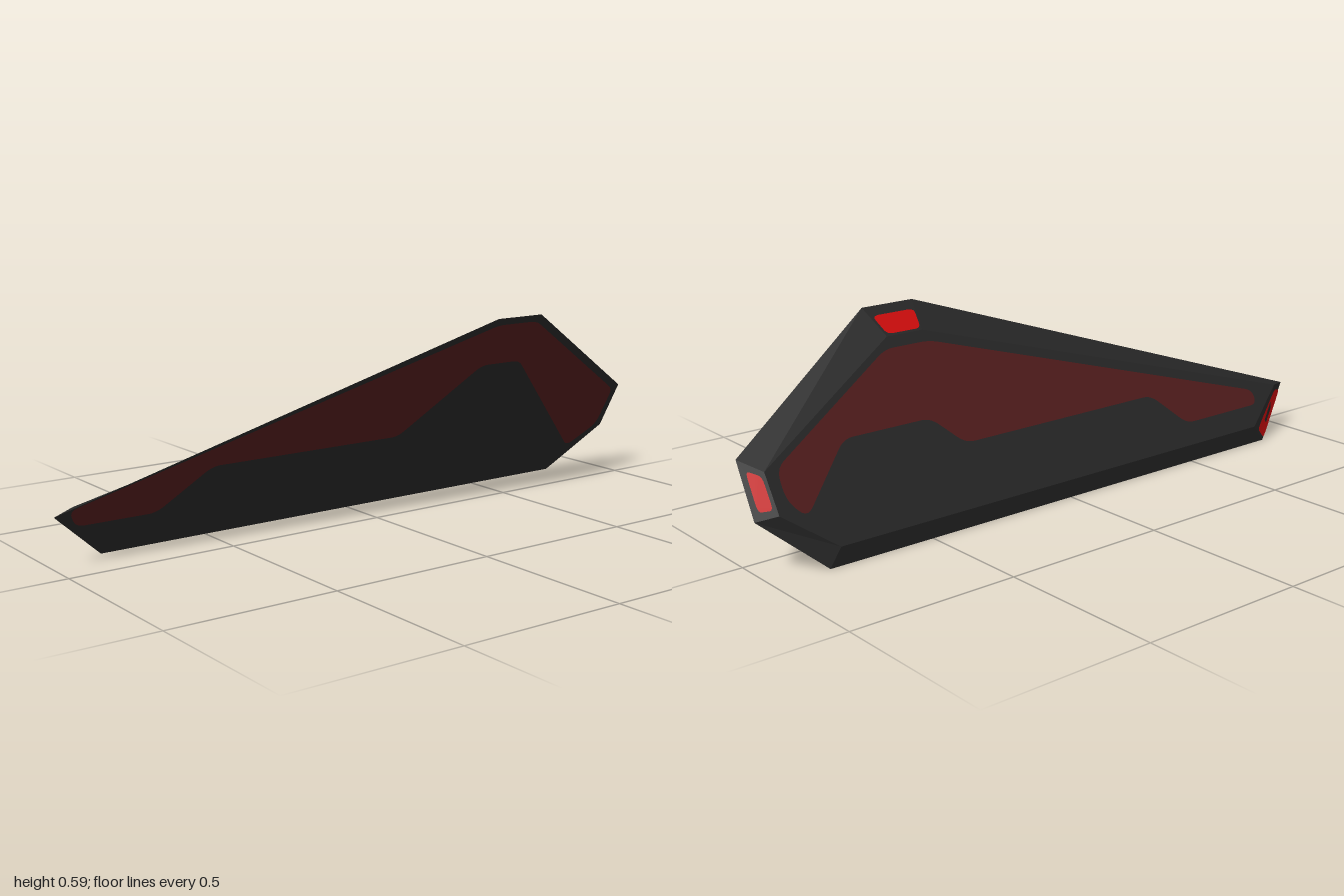
import * as THREE from 'three';

const body = new THREE.MeshStandardMaterial({ name: 'charcoal', color: 0x272727 });
const maroon = new THREE.MeshStandardMaterial({ name: 'maroon', color: 0x521c1c });
const red = new THREE.MeshStandardMaterial({ name: 'brightRed', color: 0xcc0c0c });

// The two parallel tilted faces of the fin: x as a function of height
const outerX = (y) => -0.155 + 0.5366 * y;
const innerX = (y) => -0.194 + 0.5414 * y;

// Matching outlines as [z, y]: nose, tip, tail, base
const outerRing = [[1, 0.147], [-0.33, 0.587], [-0.5, 0.587], [-1, 0.295], [-1, 0.147], [-0.83, 0], [0.83, 0]]
  .map(([z, y]) => new THREE.Vector3(outerX(y), y, z));
const innerRing = [[0.93, 0.158], [-0.35, 0.515], [-0.47, 0.515], [-0.95, 0.265], [-0.945, 0.16], [-0.8, 0.057], [0.78, 0.057]]
  .map(([z, y]) => new THREE.Vector3(innerX(y), y, z));

// Faceted slab: two flat faces joined by a ring of bevels
function slab() {
  const pts = [];
  const n = outerRing.length;
  for (let i = 1; i < n - 1; i++) {
    pts.push(outerRing[0], outerRing[i + 1], outerRing[i]);
    pts.push(innerRing[0], innerRing[i], innerRing[i + 1]);
  }
  for (let i = 0; i < n; i++) {
    const j = (i + 1) % n;
    pts.push(outerRing[i], outerRing[j], innerRing[j], outerRing[i], innerRing[j], innerRing[i]);
  }
  const g = new THREE.BufferGeometry().setFromPoints(pts);
  g.computeVertexNormals();
  return g;
}

// Polygon with softened corners
function roundedShape(points, r) {
  const p = points.map(([x, y]) => new THREE.Vector2(x, y));
  const shape = new THREE.Shape();
  p.forEach((c, i) => {
    const toward = (q) => c.clone().lerp(q, Math.min(0.45, r / c.distanceTo(q)));
    const a = toward(p[(i + p.length - 1) % p.length]);
    const b = toward(p[(i + 1) % p.length]);
    if (i === 0) shape.moveTo(a.x, a.y);
    else shape.lineTo(a.x, a.y);
    shape.quadraticCurveTo(c.x, c.y, b.x, b.y);
  });
  shape.closePath();
  return shape;
}

// Flat panel whose shape coordinates are mapped onto a surface
function panel(name, points, r, material, place) {
  const g = new THREE.ShapeGeometry(roundedShape(points, r), 5);
  const pos = g.attributes.position;
  for (let i = 0; i < pos.count; i++) {
    const v = place(pos.getX(i), pos.getY(i));
    pos.setXYZ(i, v.x, v.y, v.z);
  }
  g.computeVertexNormals();
  const mesh = new THREE.Mesh(g, material);
  mesh.name = name;
  return mesh;
}

// Light on bevel i: u runs along the edge, v from outer to inner face
function bevelLight(name, i, u0, u1, v0, v1) {
  const j = (i + 1) % outerRing.length;
  const [a, b, c, d] = [outerRing[i], outerRing[j], innerRing[j], innerRing[i]];
  const normal = b.clone().sub(a).cross(d.clone().sub(a)).normalize();
  return panel(name, [[u0, v0], [u1, v0], [u1, v1], [u0, v1]], 0.15, red, (u, v) =>
    a.clone().lerp(b, u).lerp(d.clone().lerp(c, u), v).addScaledVector(normal, 0.003));
}

export function createModel() {
  const group = new THREE.Group();
  group.name = 'fin';

  const finBody = new THREE.Mesh(slab(), body);
  finBody.name = 'finBody';
  group.add(finBody);

  // Maroon panels on both faces, points as [z, y]
  const outerPanel = [[0.96, 0.16], [0.93, 0.107], [0.687, 0.107], [0.543, 0.23], [-0.1, 0.23], [-0.334, 0.438],
    [-0.484, 0.438], [-0.875, 0.085], [-0.973, 0.155], [-0.976, 0.283], [-0.49, 0.567], [-0.34, 0.567]];
  group.add(panel('outerPanel', outerPanel.map(([z, y]) => [-z, y]), 0.025, maroon,
    (u, v) => new THREE.Vector3(outerX(v) + 0.002, v - 0.001, -u)));
  const innerPanel = [[0.82, 0.118], [0.82, 0.16], [-0.34, 0.485], [-0.49, 0.485], [-0.915, 0.265], [-0.915, 0.19],
    [-0.87, 0.14], [-0.7, 0.296], [-0.416, 0.296], [-0.326, 0.216], [0.39, 0.216], [0.5, 0.118]];
  group.add(panel('innerPanel', innerPanel, 0.03, maroon,
    (u, v) => new THREE.Vector3(innerX(v) - 0.002, v + 0.001, u)));

  // Lights on the tip, tail and nose bevels
  group.add(bevelLight('tipLight', 1, 0.04, 0.96, 0.32, 0.95));
  group.add(bevelLight('tailLight', 3, 0.14, 0.86, 0.25, 0.85));
  group.add(bevelLight('noseLight', 6, 0.03, 0.87, 0.02, 0.72));
  return group;
}
